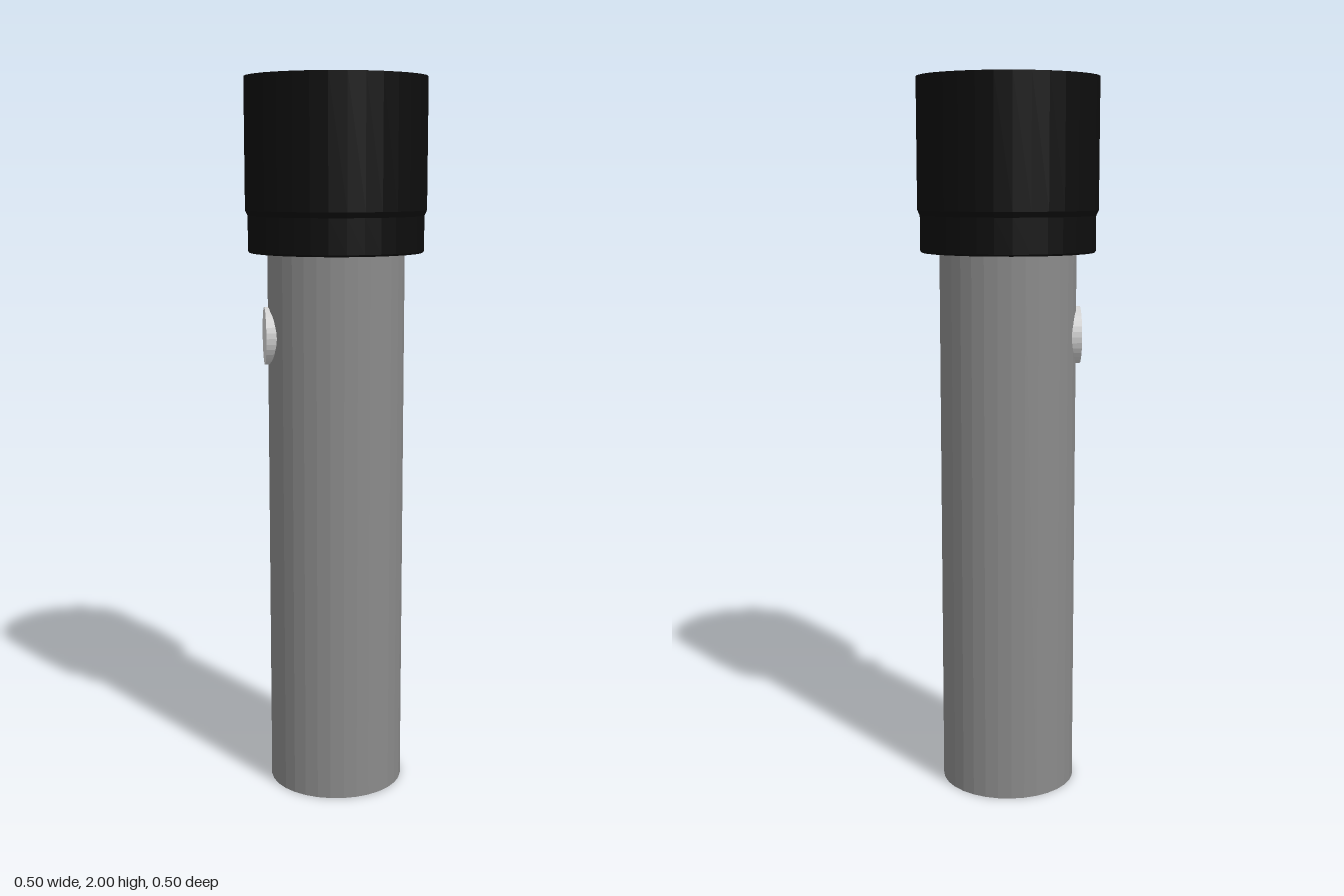
import * as THREE from 'three';

const SIDES = 32;

function material(name, color, extra = {}) {
  const m = new THREE.MeshStandardMaterial({ color, flatShading: true, ...extra });
  m.name = name;
  return m;
}

// Turned part from a list of [radius, height] points, outside running upward
function turned(name, points, mat) {
  const profile = points.map(([r, y]) => new THREE.Vector2(r, y));
  const mesh = new THREE.Mesh(new THREE.LatheGeometry(profile, SIDES), mat);
  mesh.name = name;
  return mesh;
}

export function createModel() {
  const grey = material('bodyGrey', 0x8a8a8a);
  const black = material('headBlack', 0x0d0d0d);
  const silver = material('reflectorSilver', 0x9a9a9a);
  const light = material('buttonLightGrey', 0xd0d0d0);
  const yellow = material('bulbYellow', 0xd0d8ae);

  const group = new THREE.Group();
  group.name = 'flashlight';

  // Handle tube with a shallow recess in its base
  group.add(turned('body', [
    [0, 0.035], [0.163, 0.035], [0.163, 0], [0.19, 0], [0.19, 1.56],
  ], grey));

  // Stepped head with an open rim
  group.add(turned('head', [
    [0.18, 1.53], [0.24, 1.53], [0.243, 1.535], [0.243, 1.63], [0.25, 1.645],
    [0.25, 2], [0.225, 2], [0.225, 1.96],
  ], black));

  // Reflector bowl with a narrow ledge at its edge
  group.add(turned('reflector', [
    [0.225, 1.962], [0.215, 1.955], [0.19, 1.88], [0.143, 1.805], [0, 1.69],
  ], silver));

  // Bulb in the middle of the bowl
  const bulb = new THREE.Mesh(new THREE.CylinderGeometry(0.033, 0.033, 0.06, SIDES), yellow);
  bulb.name = 'bulb';
  bulb.position.y = 1.71;
  group.add(bulb);

  // Round switch button on the side of the handle
  const button = new THREE.Mesh(new THREE.CylinderGeometry(0.08, 0.08, 0.04, SIDES), light);
  button.name = 'switchButton';
  button.rotation.z = Math.PI / 2;
  button.position.set(-0.18, 1.3, 0);
  group.add(button);

  return group;
}
